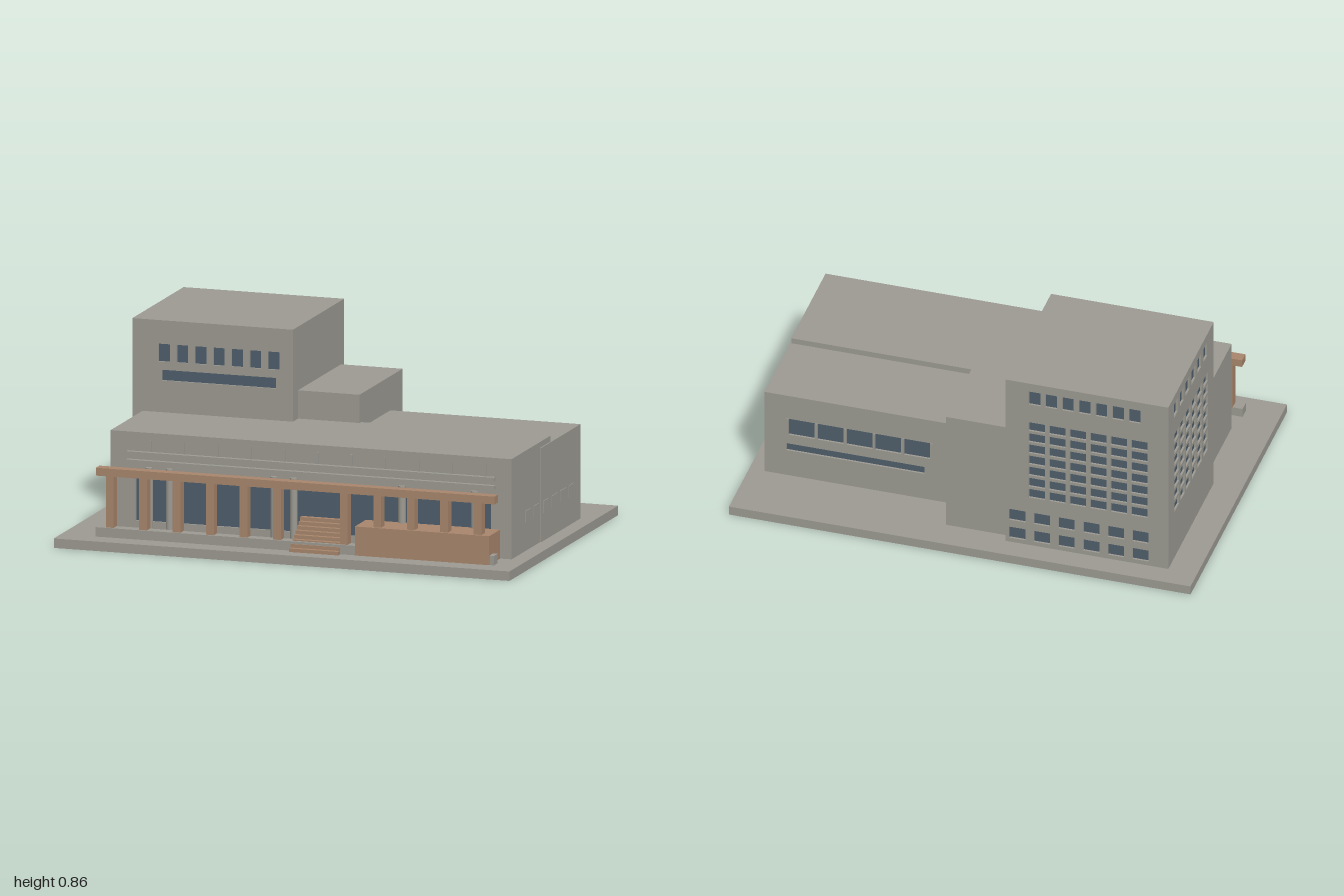
import * as THREE from 'three';

const concrete = new THREE.MeshStandardMaterial({ color: 0x9c9a92 });
concrete.name = 'concrete';
const timber = new THREE.MeshStandardMaterial({ color: 0xa8866c });
timber.name = 'terracotta';
const glass = new THREE.MeshStandardMaterial({ color: 0x4f5f6c });
glass.name = 'glass';

const DEPTH = 0.012; // window recess

// Box given by its limits on each axis
function block(parent, name, mat, x0, x1, y0, y1, z0, z1) {
  const m = new THREE.Mesh(new THREE.BoxGeometry(x1 - x0, y1 - y0, z1 - z0), mat);
  m.position.set((x0 + x1) / 2, (y0 + y1) / 2, (z0 + z1) / 2);
  m.name = name;
  parent.add(m);
  return m;
}

// Grid of window openings [u0, u1, v0, v1] filling the given limits
function openings(u0, u1, cols, w, v0, v1, rows, h) {
  const list = [];
  for (let i = 0; i < cols; i++) {
    for (let j = 0; j < rows; j++) {
      const u = cols > 1 ? u0 + (i * (u1 - u0 - w)) / (cols - 1) : u0;
      const v = rows > 1 ? v0 + (j * (v1 - v0 - h)) / (rows - 1) : v0;
      list.push([u, u + w, v, v + h]);
    }
  }
  return list;
}

// Wall panel with recessed glazing; its inner face lies on local z = 0
function facade(parent, name, u0, u1, v0, v1, holes) {
  const g = new THREE.Group();
  g.name = name;
  const shape = new THREE.Shape();
  shape.moveTo(u0, v0).lineTo(u1, v0).lineTo(u1, v1).lineTo(u0, v1).closePath();
  for (const [a, b, c, d] of holes) {
    const p = new THREE.Path();
    p.moveTo(a, c).lineTo(a, d).lineTo(b, d).lineTo(b, c).closePath();
    shape.holes.push(p);
    block(g, 'windowGlass', glass, a, b, c, d, 0, 0.003);
  }
  const wall = new THREE.Mesh(
    new THREE.ExtrudeGeometry(shape, { depth: DEPTH, bevelEnabled: false }), concrete);
  wall.name = 'wall';
  g.add(wall);
  parent.add(g);
  return g;
}

export function createModel() {
  const model = new THREE.Group();
  model.name = 'civicBuilding';
  block(model, 'baseSlab', concrete, -1, 1, 0, 0.04, -0.69, 0.69);

  // Tower: core with glazed panels on the front, back and outer side
  const tower = new THREE.Group();
  tower.name = 'tower';
  model.add(tower);
  block(tower, 'towerCore', concrete, -0.875 + DEPTH, -0.17, 0.04, 0.855, -0.595 + DEPTH, 0.055 - DEPTH);
  facade(tower, 'towerFront', -0.875, -0.17, 0.04, 0.855, [
    ...openings(-0.76, -0.23, 7, 0.05, 0.68, 0.755, 1, 0.075),
    [-0.745, -0.245, 0.6, 0.645],
  ]).position.z = 0.055 - DEPTH;
  const back = facade(tower, 'towerBack', 0.17, 0.875, 0.04, 0.855, [
    ...openings(0.27, 0.755, 7, 0.05, 0.75, 0.815, 1, 0.065),
    ...openings(0.27, 0.785, 6, 0.071, 0.28, 0.66, 7, 0.043),
    ...openings(0.185, 0.79, 6, 0.07, 0.06, 0.205, 2, 0.055),
  ]);
  back.rotation.y = Math.PI;
  back.position.z = -0.595 + DEPTH;
  const side = facade(tower, 'towerSide', -0.595 + DEPTH, 0.055 - DEPTH, 0.04, 0.855, [
    ...openings(-0.515, -0.04, 6, 0.055, 0.75, 0.815, 1, 0.065),
    ...openings(-0.505, -0.03, 6, 0.064, 0.27, 0.66, 7, 0.043),
  ]);
  side.rotation.y = -Math.PI / 2;
  side.position.x = -0.875 + DEPTH;

  block(model, 'linkBlock', concrete, -0.17, 0.1, 0.04, 0.585, -0.555, -0.01);

  // Rear hall with two strip windows
  block(model, 'rearHall', concrete, 0.1, 0.935, 0.04, 0.44, -0.4 + DEPTH, 0.1);
  const rear = facade(model, 'rearHallBack', -0.935, -0.1, 0.04, 0.44, [
    [-0.84, -0.205, 0.245, 0.325],
    [-0.84, -0.24, 0.165, 0.2],
  ]);
  rear.rotation.y = Math.PI;
  rear.position.z = -0.4 + DEPTH;
  for (let i = 0; i < 6; i++) {
    const x = 0.21 + i * 0.125;
    block(model, 'rearMullion', concrete, x - 0.005, x + 0.005, 0.245, 0.325, -0.405, -0.385);
  }

  // Front hall with one long glazed opening
  block(model, 'frontHall', concrete, -0.83, 0.93, 0.04, 0.465, -0.03, 0.46 - DEPTH);
  facade(model, 'frontHallFront', -0.83, 0.93, 0.04, 0.465, [[-0.72, 0.84, 0.09, 0.31]])
    .position.z = 0.46 - DEPTH;
  for (const y of [0.335, 0.37]) {
    block(model, 'louvre', concrete, -0.755, 0.86, y, y + 0.015, 0.455, 0.48);
  }
  for (let i = 0; i < 11; i++) {
    const x = -0.655 + i * 0.147;
    block(model, 'facadeRib', concrete, x - 0.004, x + 0.004, 0.385, 0.435, 0.455, 0.464);
  }
  const post = new THREE.CylinderGeometry(0.016, 0.016, 0.28, 16);
  for (const x of [-0.66, -0.57, -0.11, -0.025, 0.45, 0.77]) {
    const m = new THREE.Mesh(post, concrete);
    m.position.set(x, 0.18, 0.463);
    m.name = 'roundColumn';
    model.add(m);
  }

  // Blank square panels along the side wall
  for (let i = 0; i < 6; i++) {
    const z = 0.255 - i * 0.107;
    const x = z > 0.1 ? 0.93 : 0.935;
    block(model, 'sidePanel', concrete, x - 0.01, x + 0.003, 0.16, 0.21, z - 0.034, z + 0.034);
  }

  // Colonnade on a low plinth
  block(model, 'plinth', concrete, -0.85, 0.9, 0.04, 0.08, 0.55, 0.597);
  block(model, 'colonnadeBeam', timber, -0.85, 0.9, 0.297, 0.33, 0.543, 0.59);
  for (let i = 0; i < 12; i++) {
    if (i === 6) continue; // entrance bay
    const x = -0.79 + i * 0.1468;
    block(model, 'colonnadeColumn', timber, x - 0.017, x + 0.017, 0.08, 0.297, 0.545, 0.588);
  }

  // Entrance stairs and the solid terrace beside them
  for (let i = 0; i < 8; i++) {
    block(model, 'stair', timber, 0.01, 0.225, 0.04, 0.055 + i * 0.015, 0.46, 0.623 - i * 0.02);
  }
  block(model, 'terrace', timber, 0.29, 0.88, 0.04, 0.163, 0.46, 0.6);
  return model;
}
